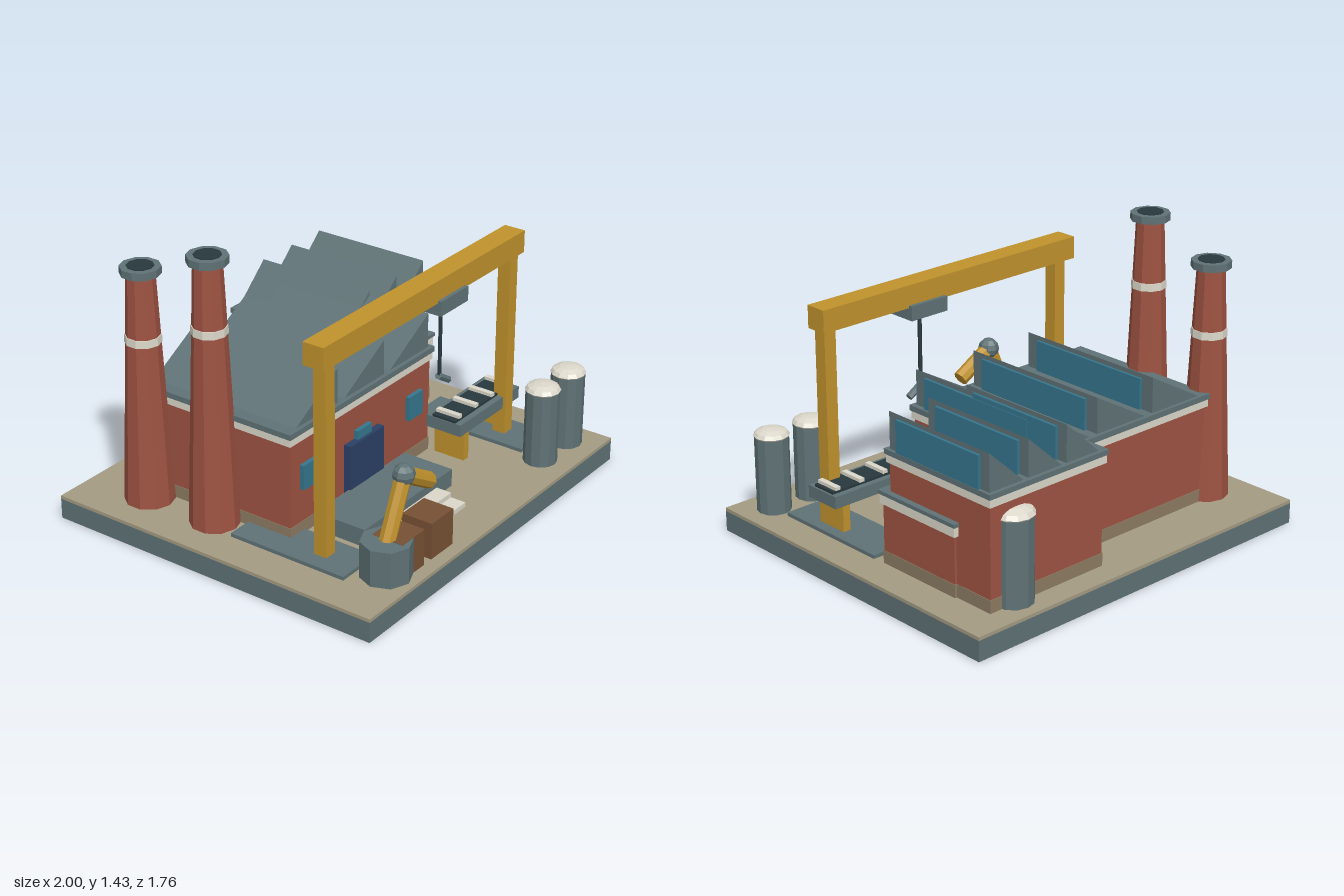
import * as THREE from 'three';

const mat = (color) => new THREE.MeshStandardMaterial({ color, flatShading: true });

export function createModel() {
  const root = new THREE.Group();
  const slate = mat(0x5f7275), brick = mat(0x9e5342), tan = mat(0xa39b82), stone = mat(0x8c7b62),
    white = mat(0xdbd7ca), yellow = mat(0xc0922c), glass = mat(0x35768d), navy = mat(0x2b4066),
    brown = mat(0x775034), dark = mat(0x28383d);

  const add = (name, geo, m, x = 0, y = 0, z = 0) => {
    const mesh = new THREE.Mesh(geo, m);
    mesh.name = name;
    mesh.position.set(x, y, z);
    root.add(mesh);
    return mesh;
  };
  // Box given by its limits on each axis
  const box = (name, m, x0, x1, y0, y1, z0, z1) =>
    add(name, new THREE.BoxGeometry(x1 - x0, y1 - y0, z1 - z0), m, (x0 + x1) / 2, (y0 + y1) / 2, (z0 + z1) / 2);
  // Upright cylinder between two heights
  const drum = (name, m, x, z, y0, y1, r0, r1 = r0, sides = 10) =>
    add(name, new THREE.CylinderGeometry(r1, r0, y1 - y0, sides), m, x, (y0 + y1) / 2, z);
  // Cylinder between two points
  const rod = (name, m, a, b, r, sides = 8) => {
    const A = new THREE.Vector3(...a), B = new THREE.Vector3(...b), d = B.clone().sub(A);
    const mesh = add(name, new THREE.CylinderGeometry(r, r, d.length(), sides), m);
    mesh.position.copy(A).add(B).multiplyScalar(0.5);
    mesh.quaternion.setFromUnitVectors(new THREE.Vector3(0, 1, 0), d.normalize());
  };

  const G = 0.117; // ground level

  // Ground slab
  box('baseSlab', slate, -1, 1, 0, 0.1, -0.88, 0.88);
  box('groundPlate', tan, -1, 1, 0.1, G, -0.88, 0.88);

  // Brick block with plinth, pale band and roof slab
  const block = (name, x0, x1, z0, z1, band, eave, top) => {
    box(name + 'Plinth', stone, x0 - 0.003, x1 + 0.003, G, 0.18, z0 - 0.003, z1 + 0.003);
    box(name + 'Walls', brick, x0, x1, 0.18, band, z0, z1);
    box(name + 'Band', white, x0 - 0.012, x1 + 0.012, band, eave, z0 - 0.012, z1 + 0.012);
    box(name + 'Roof', slate, x0 - 0.018, x1 + 0.018, eave, top, z0 - 0.018, z1 + 0.018);
  };
  block('hall', -0.69, 0.383, -0.592, 0.223, 0.597, 0.635, 0.662);
  block('annex', 0.15, 0.82, -0.757, -0.113, 0.615, 0.655, 0.68);
  block('lowWing', 0.415, 0.832, -0.545, -0.077, 0.41, 0.457, 0.475);

  // Sawtooth roofs with a glazed upright side
  const teeth = (name, starts, width, y0, y1, z0, z1, inset) => {
    const s = new THREE.Shape([[0, y0], [width, y0], [width, y1]].map((p) => new THREE.Vector2(...p)));
    for (const x of starts) {
      add(name + 'Tooth', new THREE.ExtrudeGeometry(s, { depth: z1 - z0, bevelEnabled: false }), slate, x, 0, z0);
      box(name + 'Skylight', glass, x + width - 0.005, x + width + 0.014, y0, y1 - 0.022, z0 + inset, z1 - inset);
    }
  };
  teeth('hall', [-0.645, -0.29, 0.065], 0.31, 0.66, 0.835, -0.592, 0.22, 0.068);
  teeth('annex', [0.175, 0.4, 0.625], 0.197, 0.678, 0.858, -0.755, -0.118, 0.055);

  // Doors and windows
  box('hallDoor', navy, -0.29, -0.03, 0.13, 0.428, 0.2, 0.26);
  for (const x of [-0.565, -0.16, 0.25]) box('hallWindow', glass, x - 0.055, x + 0.055, 0.35, 0.472, 0.2, 0.245);
  box('wingDoor', navy, 0.39, 0.66, 0.18, 0.41, -0.1, -0.07);
  for (const x of [0.545, 0.735]) box('wingWindow', glass, x - 0.055, x + 0.055, 0.183, 0.256, -0.1, -0.062);

  // Chimneys
  for (const [x, z, top] of [[-0.755, -0.16, 1.435], [-0.767, -0.537, 1.29]]) {
    const rAt = (y) => 0.119 + ((0.067 - 0.119) * (y - G)) / (top - 0.04 - G);
    const b = top - 0.335;
    drum('chimneyShaft', brick, x, z, G, top - 0.04, 0.119, 0.067);
    drum('chimneyBand', white, x, z, b - 0.037, b, rAt(b - 0.037) + 0.004, rAt(b) + 0.004);
    drum('chimneyCap', slate, x, z, top - 0.04, top - 0.004, 0.095);
    drum('chimneyMouth', dark, x, z, top - 0.02, top, 0.063);
  }

  // Gantry crane
  box('craneBeam', yellow, -0.78, 0.785, 1.07, 1.18, 0.367, 0.477);
  for (const x of [-0.707, 0.732]) {
    box('craneLeg', yellow, x - 0.032, x + 0.032, G, 1.07, 0.39, 0.457);
  }
  for (const x of [-0.705, 0.73]) box('cranePad', slate, x - 0.114, x + 0.114, G, 0.135, -0.016, 0.608);
  box('craneTrolley', slate, 0.067, 0.285, 1.01, 1.082, 0.348, 0.496);
  rod('craneCable', dark, [0.175, 0.65, 0.422], [0.175, 1.01, 0.422], 0.01, 6);
  rod('craneHook', slate, [0.165, 0.655, 0.422], [0.248, 0.603, 0.422], 0.018, 6);

  // Robot arm
  drum('armBase', slate, -0.67, 0.73, G, 0.295, 0.12, 0.12, 8);
  rod('lowerArm', yellow, [-0.665, 0.28, 0.73], [-0.545, 0.56, 0.73], 0.039);
  rod('upperArm', yellow, [-0.545, 0.56, 0.73], [-0.352, 0.445, 0.73], 0.039);
  add('armJoint', new THREE.SphereGeometry(0.053, 8, 6), slate, -0.545, 0.56, 0.73);

  // Crates
  for (const x of [-0.588, -0.365]) box('crate', brown, x - 0.084, x + 0.084, G, 0.297, 0.657, 0.815);

  // Loading dock and steps
  box('loadingDock', slate, -0.54, 0.15, G, 0.205, 0.25, 0.52);
  box('upperStep', white, -0.405, 0.025, G, 0.164, 0.5, 0.6);
  box('lowerStep', white, -0.405, 0.025, G, 0.14, 0.6, 0.68);

  // Conveyor
  box('conveyorFrame', slate, 0.332, 0.842, 0.27, 0.33, 0.25, 0.443);
  box('conveyorBelt', dark, 0.335, 0.832, 0.33, 0.342, 0.28, 0.41);
  for (const x of [0.38, 0.52, 0.66, 0.8]) box('conveyorSlat', white, x - 0.014, x + 0.014, 0.34, 0.358, 0.28, 0.41);
  for (const x of [0.405, 0.77]) box('conveyorLeg', yellow, x - 0.02, x + 0.02, G, 0.27, 0.262, 0.43);

  // Storage tanks with shallow domes
  for (const [x, z, r, top] of [[0.61, 0.717, 0.082, 0.49], [0.837, 0.717, 0.082, 0.49], [0.665, -0.73, 0.098, 0.53]]) {
    drum('tank', slate, x, z, G, top, r, r, 12);
    const dome = add('tankDome', new THREE.SphereGeometry(r + 0.004, 12, 6), white, x, top + 0.005, z);
    dome.scale.y = 0.4;
  }

  return root;
}
